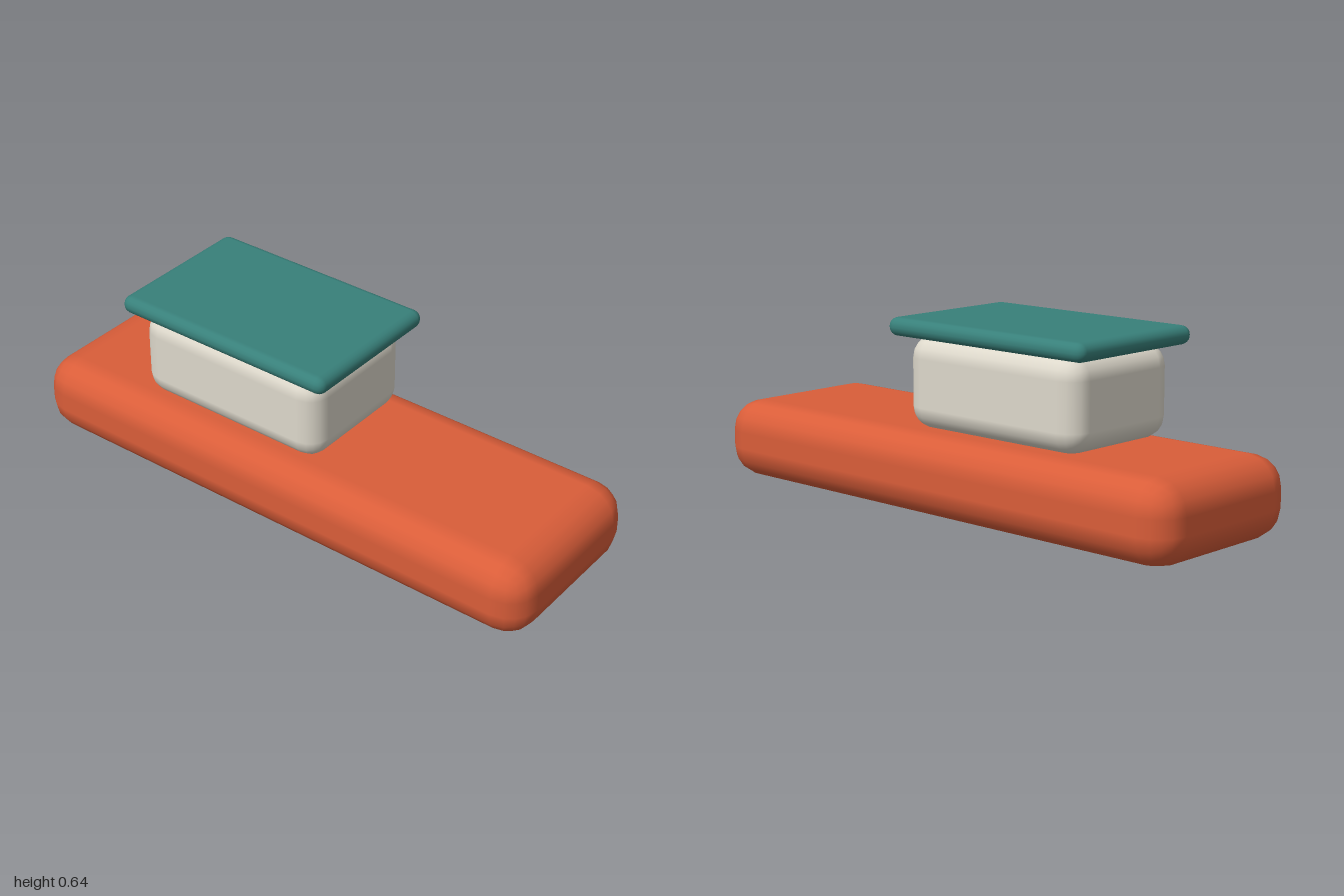
import * as THREE from 'three';
import { RoundedBoxGeometry } from 'three/addons/geometries/RoundedBoxGeometry.js';

const paint = (name, color) => {
  const m = new THREE.MeshStandardMaterial({ color });
  m.name = name;
  return m;
};

export function createModel() {
  const model = new THREE.Group();
  model.name = 'boat';

  // Rounded block given by its size, edge radius, x centre and bottom height
  const block = (name, material, [w, h, d], radius, x, bottom) => {
    const mesh = new THREE.Mesh(new RoundedBoxGeometry(w, h, d, 2, radius), material);
    mesh.name = name;
    mesh.position.set(x, bottom + h / 2, 0);
    model.add(mesh);
  };

  block('hull', paint('orange', 0xd95d39), [2, 0.274, 0.654], 0.108, 0, 0);
  block('cabin', paint('cream', 0xddd8cb), [0.738, 0.311, 0.486], 0.075, -0.214, 0.275);
  block('roof', paint('teal', 0x38807a), [0.84, 0.063, 0.548], 0.031, -0.214, 0.579);

  return model;
}
